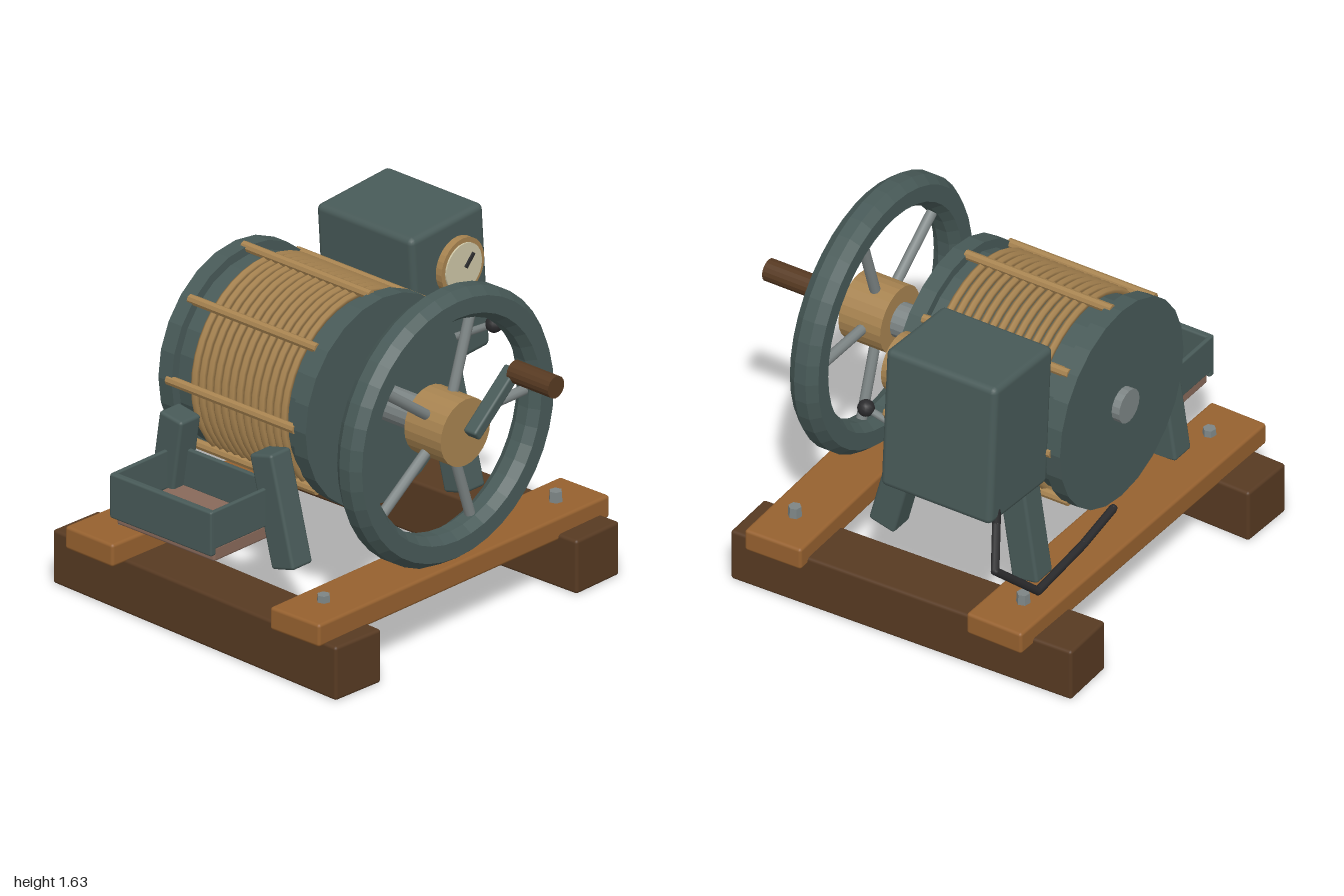
import * as THREE from 'three';
import { RoundedBoxGeometry } from 'three/addons/geometries/RoundedBoxGeometry.js';

const mat = (name, color) => Object.assign(new THREE.MeshStandardMaterial({ color }), { name });
const darkWood = mat('dark wood', 0x573a22);
const wood = mat('plank wood', 0x96612f);
const green = mat('green enamel', 0x485a58);
const brass = mat('brass', 0xa78350);
const steel = mat('steel', 0x7d8585);
const black = mat('black', 0x2b2b2d);
const cream = mat('dial cream', 0xcdc6a6);
const clay = mat('tray clay', 0x88695a);

const CX = -0.025, CY = 0.975; // shared axle of drum and flywheel

export function createModel() {
  const model = new THREE.Group();
  model.name = 'crankWinch';

  const add = (name, geo, material, pos = [0, 0, 0], rot = [0, 0, 0], parent = model) => {
    const m = new THREE.Mesh(geo, material);
    m.name = name;
    m.position.set(...pos);
    m.rotation.set(...rot);
    parent.add(m);
    return m;
  };
  const box = (w, h, d, r = 0.015) => new RoundedBoxGeometry(w, h, d, 2, r);
  const flat = (g) => {
    const f = g.toNonIndexed();
    f.computeVertexNormals();
    return f;
  };
  // disc or rod running along z from z0 to z1
  const rodZ = (r, z0, z1, sides = 24) => {
    const g = new THREE.CylinderGeometry(r, r, z1 - z0, sides);
    g.rotateX(Math.PI / 2);
    g.translate(0, 0, (z0 + z1) / 2);
    return flat(g);
  };
  // straight rod between two points
  const rod = (name, a, b, r, material, sides = 8, parent = model) => {
    const A = new THREE.Vector3(...a), B = new THREE.Vector3(...b);
    const dir = B.clone().sub(A);
    const m = add(name, new THREE.CylinderGeometry(r, r, dir.length(), sides), material, [0, 0, 0], [0, 0, 0], parent);
    m.position.copy(A).add(B).multiplyScalar(0.5);
    m.quaternion.setFromUnitVectors(new THREE.Vector3(0, 1, 0), dir.normalize());
    return m;
  };

  // Timber base, slightly askew
  add('leftRunner', box(0.285, 0.26, 1.77), darkWood, [0.725, 0.13, -0.105], [0, 0.026, 0]);
  add('rightRunner', box(0.285, 0.26, 1.77), darkWood, [-0.77, 0.13, -0.105], [0, -0.034, 0]);
  add('frontPlank', box(1.92, 0.11, 0.295), wood, [-0.02, 0.293, 0.54], [0, 0.02, -0.012]);
  add('backPlank', box(1.92, 0.11, 0.295), wood, [-0.02, 0.293, -0.665], [0, -0.02, -0.012]);
  for (const x of [-0.77, 0.73]) for (const z of [0.54, -0.665]) {
    add('bolt', flat(new THREE.CylinderGeometry(0.03, 0.033, 0.05, 6)), steel, [x, 0.365, z], [0, 0.3, 0]);
  }

  // Splayed support legs
  for (const x of [-0.58, 0.535]) {
    add('frontLeg', box(0.13, 0.537, 0.138), green, [x, 0.607, 0.105], [-0.256, 0, 0]);
    add('backLeg', box(0.13, 0.545, 0.138), green, [x, 0.61, -0.545], [0.15, 0, 0]);
  }

  // Drum with coiled wire and clamping bars
  const drum = new THREE.Group();
  drum.name = 'drum';
  drum.position.set(CX, CY, 0);
  model.add(drum);
  const onDrum = (name, geo, material, pos, rot) => add(name, geo, material, pos, rot, drum);
  onDrum('drumCore', rodZ(0.455, -0.62, 0.13), green);
  onDrum('backFlange', rodZ(0.498, -0.69, -0.61), green);
  onDrum('frontFlange', rodZ(0.498, 0.12, 0.2), green);
  for (let i = 0; i < 13; i++) {
    onDrum('wireTurn', new THREE.TorusGeometry(0.465, 0.018, 6, 40), brass, [0, 0, -0.5 + i * 0.045]);
  }
  for (let i = 0; i < 8; i++) {
    const a = (i * Math.PI) / 4;
    onDrum('clampBar', rodZ(0.023, -0.64, 0.13, 8), brass, [0.488 * Math.cos(a), 0.488 * Math.sin(a), 0]);
  }
  onDrum('axle', rodZ(0.082, -0.73, 0.5, 16), steel);

  // Flywheel
  const wheel = new THREE.Group();
  wheel.name = 'flywheel';
  wheel.position.set(CX, CY, 0.58);
  model.add(wheel);
  const rimProfile = [[0.655, -0.03], [0.655, 0.03], [0.62, 0.075], [0.54, 0.075],
    [0.507, 0.03], [0.507, -0.03], [0.54, -0.075], [0.62, -0.075], [0.655, -0.03]]
    .map(([r, y]) => new THREE.Vector2(r, y));
  const rim = new THREE.LatheGeometry(rimProfile, 40);
  rim.rotateX(Math.PI / 2);
  add('rim', flat(rim), green, [0, 0, 0], [0, 0, 0], wheel);
  add('hub', rodZ(0.16, -0.1, 0.12), brass, [0, 0, 0], [0, 0, 0], wheel);
  for (let i = 0; i < 5; i++) {
    const a = (i * 2 * Math.PI) / 5, c = Math.cos(a), s = Math.sin(a);
    rod('spoke', [0.12 * c, 0.12 * s, 0], [0.53 * c, 0.53 * s, 0], 0.025, steel, 10, wheel);
  }

  // Hand crank
  add('crankArm', box(0.36, 0.055, 0.075, 0.012), green, [0.112, 1.088, 0.735], [0, 0, 0.71]);
  add('crankGrip', rodZ(0.053, 0.75, 1.0, 16), darkWood, [0.24, 1.2, 0]);

  // Tilted control box with its dial and tap
  const control = new THREE.Group();
  control.name = 'controlBox';
  control.position.set(0.675, 1.185, -0.33);
  control.rotation.z = 0.068;
  model.add(control);
  add('boxBody', box(0.47, 0.71, 0.585, 0.03), green, [0, 0, 0], [0, 0, 0], control);
  add('dialStem', rodZ(0.05, -0.06, 0.01, 12), brass, [0.67, 1.337, 0]);
  add('dialBezel', rodZ(0.138, 0, 0.035, 28), brass, [0.67, 1.337, 0]);
  add('dialFace', rodZ(0.115, 0.035, 0.043, 28), cream, [0.67, 1.337, 0]);
  add('dialNeedle', new THREE.BoxGeometry(0.075, 0.016, 0.009), black, [0.697, 1.366, 0.052], [0, 0, 0.82]);
  add('tapStem', rodZ(0.016, -0.06, 0, 8), brass, [0.79, 1.145, 0]);
  for (const a of [0.3, 0.3 + Math.PI / 2]) {
    add('tapHandle', box(0.075, 0.035, 0.03, 0.01), brass, [0.795, 1.15, 0], [0, 0, a]);
  }

  // Switch lever
  rod('lever', [0.675, 0.96, -0.05], [0.74, 1.075, 0.155], 0.017, steel);
  add('leverKnob', new THREE.SphereGeometry(0.04, 12, 8), black, [0.74, 1.075, 0.158]);

  // Bent pipe from the box to the drum foot
  const bends = [[0.85, 0.92, -0.6], [0.87, 0.83, -0.615], [0.98, 0.66, -0.68],
    [0.75, 0.445, -0.755], [0.33, 0.435, -0.72], [0.06, 0.46, -0.7]];
  bends.slice(1).forEach((p, i) => {
    rod('pipe', bends[i], p, 0.02, black);
    add('pipeBend', new THREE.SphereGeometry(0.02, 8, 6), black, p);
  });

  // Open side tray
  add('trayFloor', box(0.41, 0.07, 0.59, 0.012), clay, [-0.765, 0.497, -0.23]);
  add('trayOuterWall', box(0.035, 0.215, 0.615, 0.01), green, [-0.98, 0.605, -0.235]);
  for (const z of [-0.532, 0.062]) {
    add('trayEndWall', box(0.43, 0.185, 0.022, 0.008), green, [-0.775, 0.62, z]);
  }
  add('trayInnerWall', box(0.025, 0.185, 0.6, 0.008), green, [-0.565, 0.62, -0.235]);

  return model;
}
